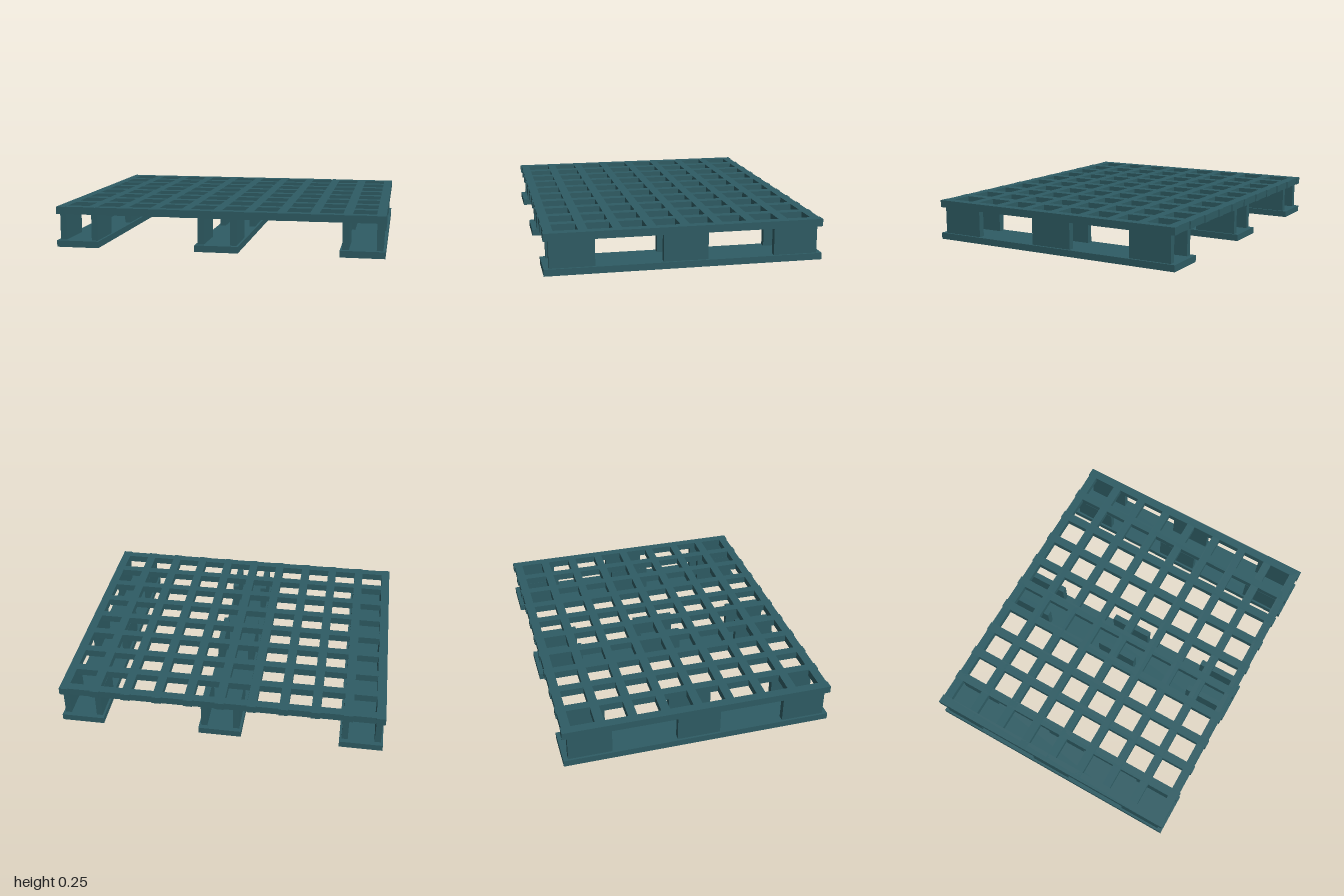
import * as THREE from 'three';

export function createModel() {
  const pallet = new THREE.Group();
  pallet.name = 'pallet';
  const plastic = new THREE.MeshStandardMaterial({ color: 0x2e5c64 });
  plastic.name = 'dark teal plastic';

  // Box given by its limits on each axis
  function bar(name, [x0, x1], [y0, y1], [z0, z1]) {
    const mesh = new THREE.Mesh(new THREE.BoxGeometry(x1 - x0, y1 - y0, z1 - z0), plastic);
    mesh.position.set((x0 + x1) / 2, (y0 + y1) / 2, (z0 + z1) / 2);
    mesh.name = name;
    pallet.add(mesh);
  }
  const around = (c, width) => [c - width / 2, c + width / 2];

  const runnerY = [0, 0.04];
  const blockY = [0.04, 0.205];
  const deckY = [0.205, 0.25];

  // Deck grid: bars running front to back, slightly longer than the cross bars
  for (let i = -5; i <= 5; i++) {
    bar('deckLongBar', around(i * 0.1944, 0.056), deckY, [-0.83, 0.83]);
  }
  for (let j = -4; j <= 4; j++) {
    bar('deckCrossBar', [-1, 1], deckY, around(j * 0.199, 0.055));
  }

  // Three runners, each joined to the deck by three pairs of upright plates
  for (const x of [-0.867, 0, 0.867]) {
    bar('runner', around(x, 0.265), runnerY, [-0.83, 0.83]);
    for (const z of [-0.667, 0, 0.667]) {
      for (const side of [-1, 1]) {
        bar('uprightPlate', around(x + side * 0.1, 0.038), blockY, around(z, 0.266));
      }
    }
  }

  return pallet;
}
